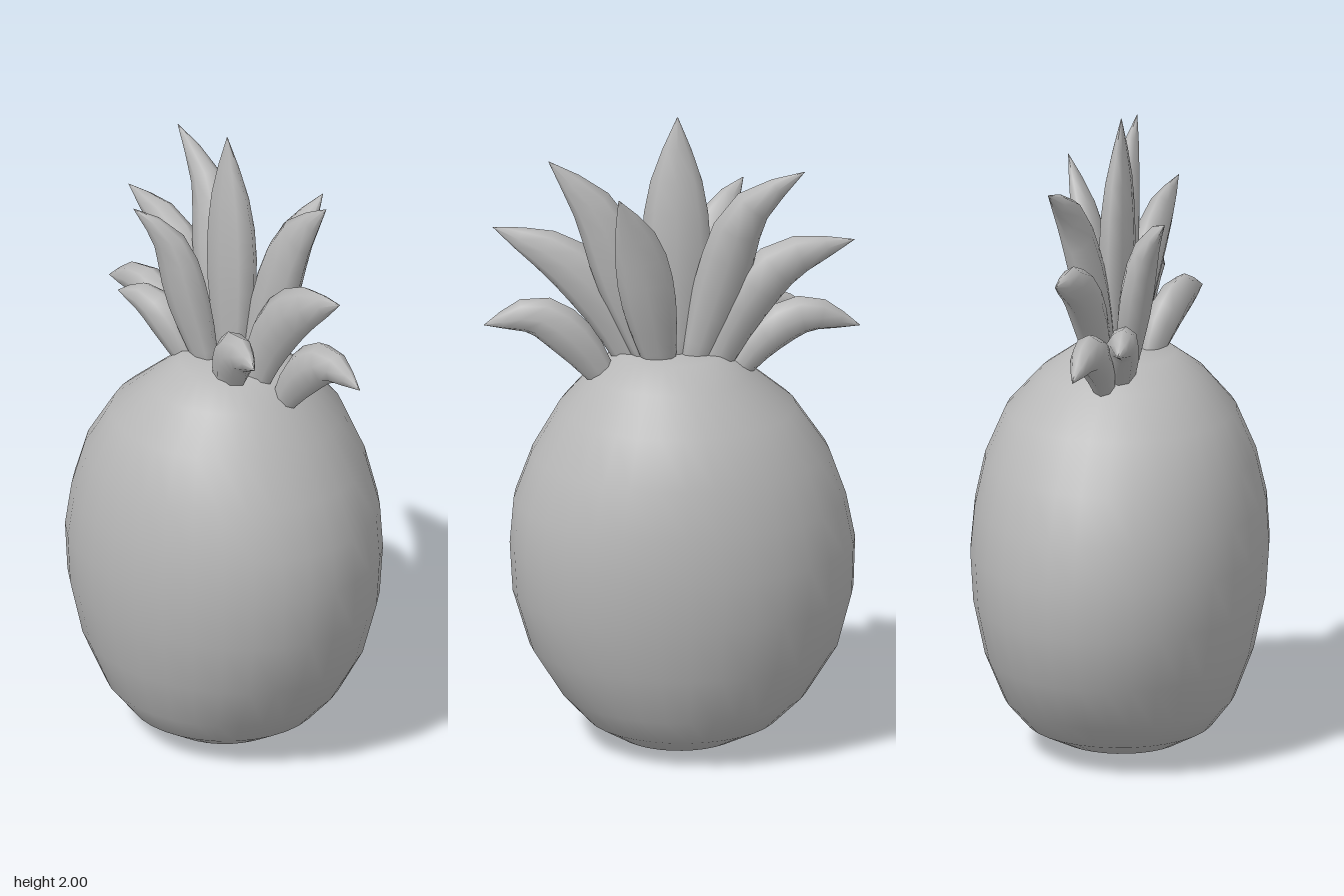
import * as THREE from 'three';

const grey = new THREE.MeshStandardMaterial({ color: 0xb8b8b8 });
grey.name = 'plain grey';

// Skins elliptical rings { c, u, v } (centre and two half-axis vectors) along a path
function loft(rings, sides) {
  const pos = [], idx = [], p = new THREE.Vector3();
  for (const { c, u, v } of rings) {
    for (let j = 0; j < sides; j++) {
      const a = (j / sides) * Math.PI * 2;
      p.copy(c).addScaledVector(u, Math.cos(a)).addScaledVector(v, Math.sin(a));
      pos.push(p.x, p.y, p.z);
    }
  }
  for (let i = 0; i < rings.length - 1; i++) {
    for (let j = 0; j < sides; j++) {
      const k = (j + 1) % sides;
      const a = i * sides + j, b = i * sides + k, c = a + sides, d = b + sides;
      idx.push(a, b, c, b, d, c);
    }
  }
  const g = new THREE.BufferGeometry();
  g.setAttribute('position', new THREE.Float32BufferAttribute(pos, 3));
  g.setIndex(idx);
  g.computeVertexNormals();
  return g;
}

// Fruit body sections: height, centre x, half width, half depth
const BODY = [
  [0.005, -0.03, 0.001, 0.001], [0.008, -0.03, 0.09, 0.09], [0.035, -0.025, 0.185, 0.19],
  [0.09, -0.035, 0.29, 0.285], [0.175, -0.04, 0.375, 0.35], [0.325, -0.04, 0.47, 0.405],
  [0.495, -0.037, 0.518, 0.44], [0.65, -0.035, 0.525, 0.45], [0.79, -0.027, 0.505, 0.44],
  [0.935, -0.028, 0.452, 0.41], [1.08, -0.02, 0.36, 0.35], [1.19, 0, 0.245, 0.25],
  [1.255, 0, 0.16, 0.16], [1.256, 0, 0.001, 0.001],
];

// Leaves: half width, then path points from root to tip
const LEAVES = [
  ['centreLeaf', 0.105, [-0.015, 1.2, -0.015], [-0.015, 1.45, -0.015], [-0.015, 1.72, -0.012], [-0.02, 2, 0]],
  ['upperRightLeaf', 0.08, [-0.06, 1.2, -0.03], [-0.15, 1.5, -0.06], [-0.23, 1.73, -0.1], [-0.4, 1.86, -0.125]],
  ['upperLeftLeaf', 0.085, [0.05, 1.2, -0.03], [0.14, 1.48, -0.045], [0.23, 1.72, -0.055], [0.375, 1.885, -0.06]],
  ['frontTallLeaf', 0.085, [-0.07, 1.2, 0.03], [-0.12, 1.43, 0.07], [-0.155, 1.64, 0.12], [-0.23, 1.74, 0.195]],
  ['backTallLeaf', 0.085, [0.03, 1.2, -0.05], [0.07, 1.43, -0.1], [0.11, 1.64, -0.15], [0.17, 1.81, -0.22]],
  ['middleRightLeaf', 0.08, [-0.11, 1.17, -0.03], [-0.21, 1.4, -0.04], [-0.34, 1.55, -0.05], [-0.555, 1.62, -0.06]],
  ['middleLeftLeaf', 0.085, [0.09, 1.17, 0], [0.19, 1.4, 0], [0.33, 1.55, 0.01], [0.54, 1.65, 0.025]],
  ['lowRightLeaf', 0.065, [-0.18, 1.16, 0], [-0.29, 1.3, 0], [-0.41, 1.365, 0], [-0.575, 1.325, 0]],
  ['lowLeftLeaf', 0.07, [0.19, 1.16, -0.03], [0.3, 1.31, -0.035], [0.41, 1.385, -0.035], [0.57, 1.355, -0.03]],
  ['frontLowRightLeaf', 0.065, [-0.12, 1.16, 0.03], [-0.21, 1.3, 0.055], [-0.29, 1.37, 0.08], [-0.415, 1.365, 0.1]],
  ['frontLowLeftLeaf', 0.075, [0.04, 1.17, 0.06], [0.1, 1.3, 0.085], [0.18, 1.385, 0.125], [0.305, 1.385, 0.165]],
];

// Tapered fleshy leaf, broad across the front and thin front to back
function leafGeometry(width, points) {
  const curve = new THREE.CatmullRomCurve3(points.map((p) => new THREE.Vector3(...p)));
  const taper = [0.5, 0.68, 0.85, 0.97, 1, 0.93, 0.75, 0.42, 0.01];
  const rings = taper.map((s, i) => {
    const t = i / (taper.length - 1);
    const tangent = curve.getTangentAt(t);
    const v = new THREE.Vector3(0, 0, 1).addScaledVector(tangent, -tangent.z).normalize();
    const u = v.clone().cross(tangent).multiplyScalar(width * s);
    return { c: curve.getPointAt(t), u, v: v.multiplyScalar(0.052 * s) };
  });
  // Closed root
  const root = rings[0];
  rings.unshift({ c: root.c, u: root.u.clone().multiplyScalar(0.01), v: root.v.clone().multiplyScalar(0.01) });
  return loft(rings, 8);
}

export function createModel() {
  const model = new THREE.Group();
  model.name = 'pineapple';

  const add = (name, geometry, parent) => {
    const mesh = new THREE.Mesh(geometry, grey);
    mesh.name = name;
    parent.add(mesh);
  };

  const bodyRings = BODY.map(([y, x, rx, rz]) => ({
    c: new THREE.Vector3(x, y, 0),
    u: new THREE.Vector3(0, 0, rz),
    v: new THREE.Vector3(rx, 0, 0),
  }));
  add('fruitBody', loft(bodyRings, 32), model);

  const crown = new THREE.Group();
  crown.name = 'leafCrown';
  model.add(crown);
  for (const [name, width, ...points] of LEAVES) add(name, leafGeometry(width, points), crown);

  return model;
}
